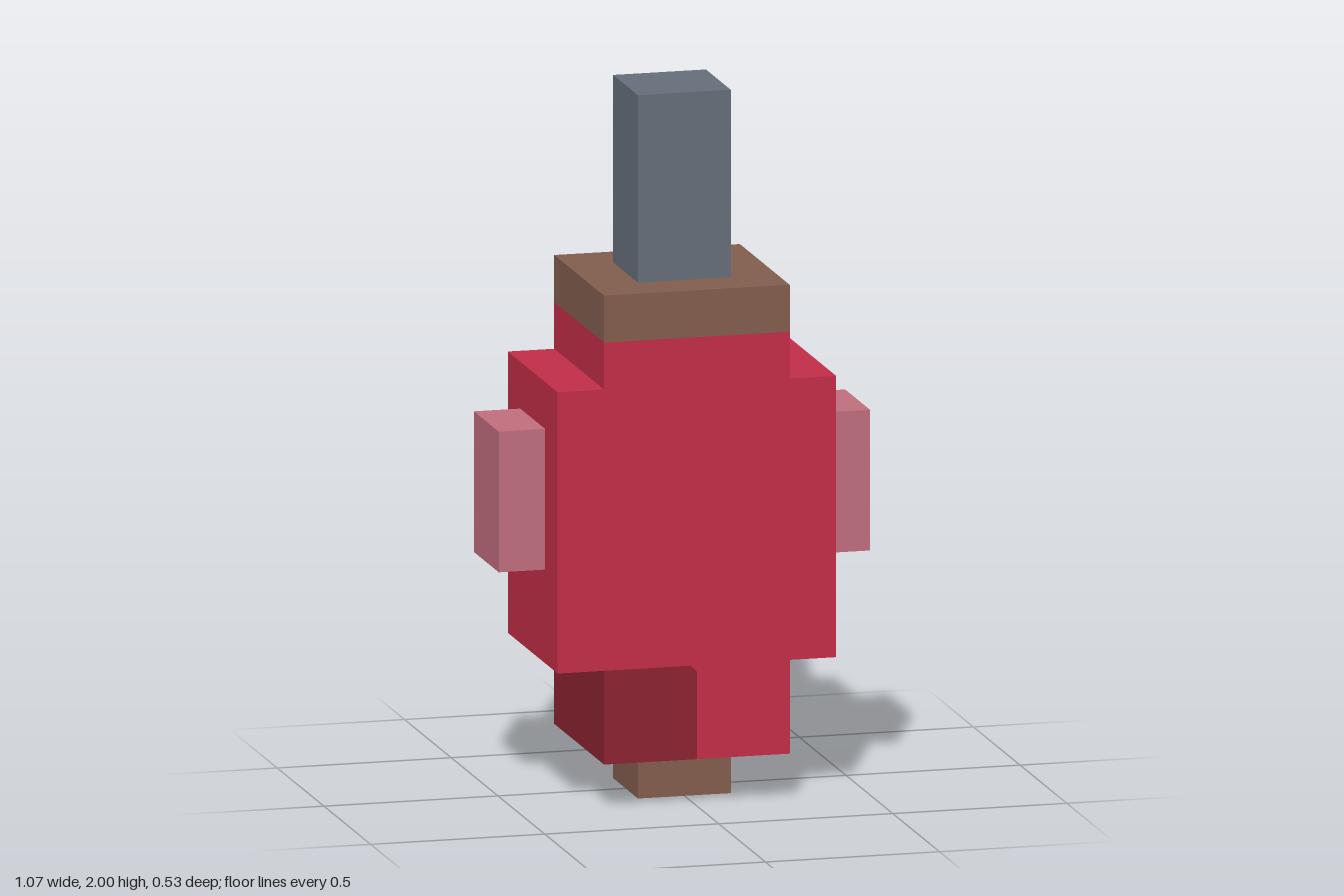
import * as THREE from 'three';

const U = 2 / 15; // one block unit

function material(name, color) {
  const m = new THREE.MeshStandardMaterial({ color });
  m.name = name;
  return m;
}

export function createModel() {
  const red = material('red', 0xc22d48);
  const darkRed = material('dark red', 0x8b222f);
  const pink = material('dusty pink', 0xbf6d7c);
  const brown = material('brown', 0x825d4d);
  const slate = material('slate grey', 0x656e79);

  const model = new THREE.Group();
  model.name = 'blockyLantern';

  // Box given by size and centre x / bottom y, all in block units
  function box(name, mat, w, h, d, x, y) {
    const mesh = new THREE.Mesh(new THREE.BoxGeometry(w * U, h * U, d * U), mat);
    mesh.position.set(x * U, (y + h / 2) * U, 0);
    mesh.name = name;
    model.add(mesh);
  }

  // Front outline in block units, extruded through the full body depth
  function slab(name, mat, points) {
    const shape = new THREE.Shape(points.map(([x, y]) => new THREE.Vector2(x * U, y * U)));
    const geo = new THREE.ExtrudeGeometry(shape, { depth: 4 * U, bevelEnabled: false });
    geo.translate(0, 0, -2 * U);
    const mesh = new THREE.Mesh(geo, mat);
    mesh.name = name;
    model.add(mesh);
  }

  // Stepped body, with a notch filled by the dark lower corner
  const c = 0.13;
  slab('body', red, [
    [0, 1], [2, 1], [2, 3], [3, 3], [3, 9], [2, 9], [2, 10],
    [-2, 10], [-2, 9], [-3, 9], [-3, 3], [-c, 3], [0, 3 - c],
  ]);
  slab('darkCorner', darkRed, [[-2, 1], [0, 1], [0, 3 - c], [-c, 3], [-2, 3]]);

  // Foot, collar and stem
  box('foot', brown, 2, 1, 2, 0, 0);
  box('collar', brown, 4, 1, 4, 0, 10);
  box('stem', slate, 2, 4, 2, 0, 11);

  // Side lugs
  for (const s of [-1, 1]) box(s > 0 ? 'leftLug' : 'rightLug', pink, 1, 3, 2, s * 3.5, 5);

  return model;
}
